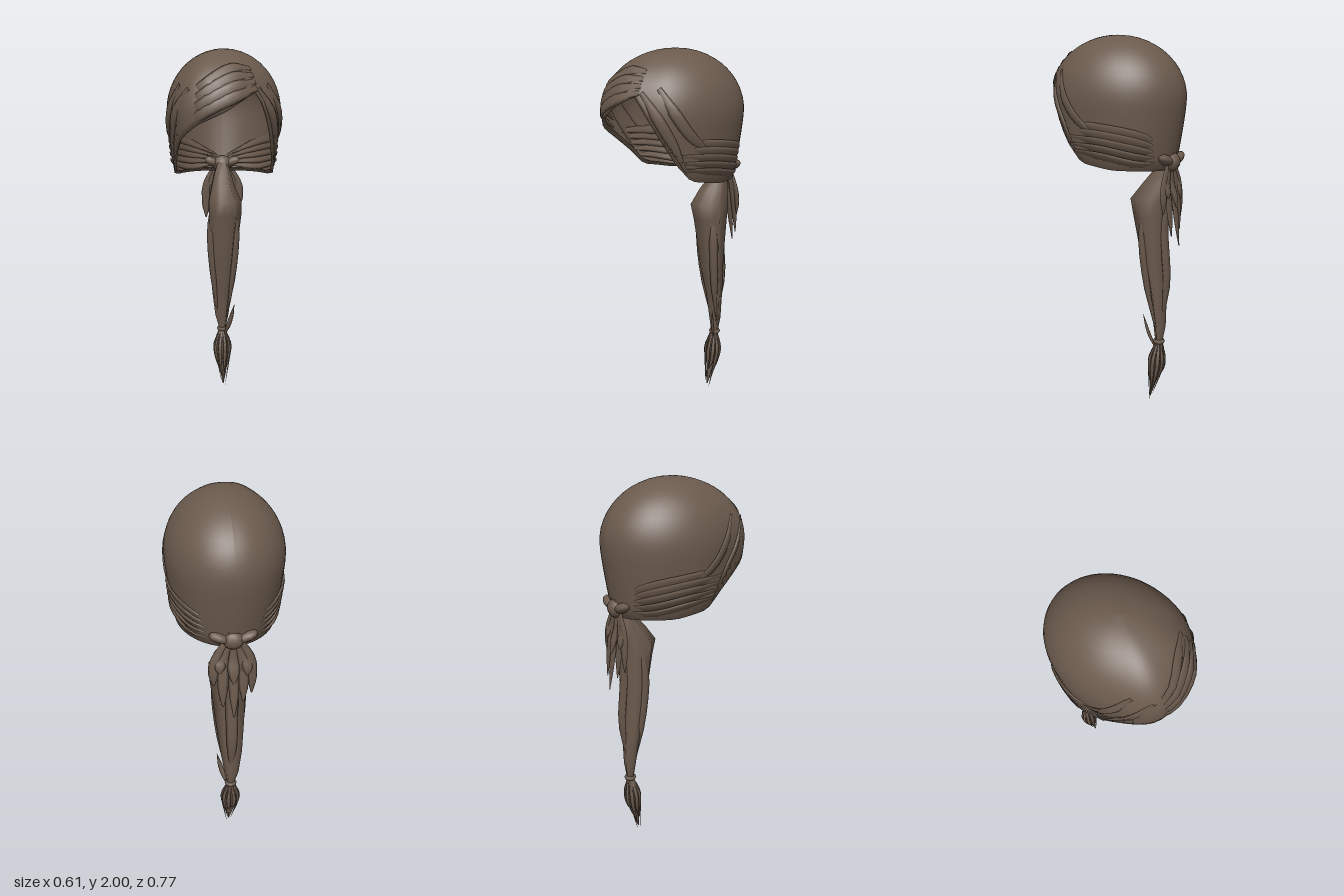
import * as THREE from 'three';

const V = (x, y, z) => new THREE.Vector3(x, y, z);
const hair = new THREE.MeshStandardMaterial({ color: 0x6b5a4d, side: THREE.DoubleSide });
hair.name = 'brown hair';

// Skin a list of point rows into one surface
function skin(rows, closed) {
  const n = rows[0].length, pos = [], idx = [];
  rows.forEach(r => r.forEach(p => pos.push(p.x, p.y, p.z)));
  for (let i = 0; i < rows.length - 1; i++) {
    for (let j = 0; j < (closed ? n : n - 1); j++) {
      const a = i * n + j, b = i * n + (j + 1) % n;
      idx.push(a, a + n, b, b, a + n, b + n);
    }
  }
  const g = new THREE.BufferGeometry();
  g.setAttribute('position', new THREE.Float32BufferAttribute(pos, 3));
  g.setIndex(idx);
  g.computeVertexNormals();
  return g;
}

function add(group, name, geo) {
  const m = new THREE.Mesh(geo, hair);
  m.name = name;
  group.add(m);
  return m;
}

// Linear lookup in [key, value] pairs
function lookup(table, k) {
  for (let i = 1; i < table.length; i++) {
    const [a, va] = table[i - 1], [b, vb] = table[i];
    if (k <= b) return va + (vb - va) * (k - a) / (b - a);
  }
  return table[table.length - 1][1];
}

// Hem height by angle, 0 = front, positive towards the left side
const HEM = [[-180, 1.32], [-110, 1.33], [-80, 1.36], [-65, 1.45], [-45, 1.55], [-25, 1.63], [0, 1.69],
  [15, 1.74], [30, 1.78], [36, 1.74], [45, 1.66], [55, 1.56], [65, 1.46], [80, 1.36], [110, 1.33], [180, 1.32]];

// Point on the head of hair at an angle and height
function capPoint(deg, y, off = 0) {
  const a = THREE.MathUtils.degToRad(deg);
  const k = y > 1.68 ? Math.sqrt(Math.max(0, 1 - ((y - 1.68) / 0.32) ** 2))
    : 1 - 0.14 * ((1.68 - y) / 0.36) ** 1.3;
  const bulge = 1 + 0.08 * Math.exp(-(((deg + 36) / 18) ** 2)) - 0.03 * Math.exp(-(((deg - 42) / 14) ** 2));
  return V(Math.sin(a) * (0.302 * k * bulge + off), y, Math.cos(a) * (0.38 * k * bulge + off));
}

// Flat tapering lock along a path, facing outward
function lock(points, width, thick, outward, taper = [0.4, 1, 0.9, 0.05]) {
  const curve = new THREE.CatmullRomCurve3(points), steps = 10, rows = [];
  for (let i = 0; i <= steps; i++) {
    const t = i / steps, p = curve.getPoint(t), tan = curve.getTangent(t);
    const out = outward(p).normalize();
    const side = V().crossVectors(tan, out).normalize();
    const w = width * lookup(taper.map((v, j) => [j / (taper.length - 1), v]), t);
    const row = [];
    for (let j = 0; j < 6; j++) {
      const a = -j / 6 * Math.PI * 2;
      row.push(p.clone().addScaledVector(side, Math.cos(a) * w)
        .addScaledVector(out, Math.sin(a) * thick * (w / width)));
    }
    rows.push(row);
  }
  return skin(rows, true);
}

// Grooved bundle from [y, centre x, centre z, half width, half depth]
function bundle(rings, sides, groove) {
  return skin(rings.map(([y, x, z, rx, rz]) => Array.from({ length: sides }, (_, j) => {
    const a = -j / sides * Math.PI * 2, s = j % 2 ? 1 - groove : 1;
    return V(x + Math.cos(a) * rx * s, y, z + Math.sin(a) * rz * s);
  })), true);
}

export function createModel() {
  const model = new THREE.Group();
  model.name = 'tied back hair';

  // Head of hair, from crown to hem, with a small turned-in rim
  const rows = [], N = 60, M = 18;
  for (let i = 0; i <= M; i++) {
    const row = [];
    for (let j = 0; j <= N; j++) {
      const deg = -180 + j * 360 / N, hem = lookup(HEM, deg);
      const t = i / M;
      const y = hem + (2 - hem) * (1 - t ** 1.7);
      row.push(capPoint(deg, y));
    }
    rows.push(row);
  }
  rows.push(rows[M].map(p => V(p.x * 0.95, p.y + 0.02, p.z * 0.95)));
  add(model, 'headHair', skin(rows, false));

  // Locks combed over the surface: [angle, height] waypoints
  const centre = p => V(p.x, (p.y - 1.66) * 0.8, p.z);
  const combed = new THREE.Group();
  combed.name = 'combedLocks';
  model.add(combed);
  const comb = (name, path, width) =>
    add(combed, name, lock(path.map(([d, y]) => capPoint(d, y, 0.003)), width, 0.009, centre));
  for (const s of [-1, 1]) {
    for (let i = 0; i < 5; i++) {
      const y = 1.35 + i * 0.035;
      comb('sideLock', [[s * (74 - i * 4), y + 0.07], [s * 100, y + 0.05], [s * 135, y + 0.01],
        [s * 176, 1.36 + i * 0.012]], 0.03);
    }
    comb('templeLock', [[s * 36, 1.8], [s * 52, 1.68], [s * 64, 1.55], [s * 76, 1.4]], 0.03);
    comb('templeLock', [[s * 52, 1.82], [s * 66, 1.7], [s * 80, 1.58], [s * 108, 1.46]], 0.03);
  }
  // Fringe swept across the forehead
  for (let i = 0; i < 4; i++) {
    const d = i * 0.045;
    comb('fringeLock', [[34, 1.8 + d * 0.7], [8, 1.76 + d], [-22, 1.68 + d], [-52, 1.57 + d]], 0.032);
  }

  // Knot at the nape with a loop on each side
  const knot = add(model, 'knot', new THREE.SphereGeometry(1, 12, 8));
  knot.scale.set(0.055, 0.05, 0.045);
  knot.position.set(0, 1.36, -0.325);
  for (const s of [-1, 1]) {
    const loop = add(model, 'knotLoop', new THREE.SphereGeometry(1, 10, 6));
    loop.scale.set(0.06, 0.027, 0.035);
    loop.position.set(s * 0.065, 1.375, -0.325);
    loop.rotation.z = s * 0.35;
  }

  // Long tail
  add(model, 'ponytail', bundle([
    [1.37, 0, -0.3, 0.03, 0.03], [1.3, 0, -0.27, 0.055, 0.055], [1.24, 0, -0.245, 0.07, 0.085],
    [1.16, 0.01, -0.21, 0.1, 0.11], [1.08, 0.01, -0.215, 0.1, 0.095], [0.95, 0.005, -0.225, 0.09, 0.08],
    [0.8, 0, -0.235, 0.08, 0.066], [0.6, -0.005, -0.26, 0.062, 0.043], [0.45, -0.005, -0.27, 0.042, 0.032],
    [0.36, 0, -0.268, 0.02, 0.02]], 14, 0.2));
  for (const [x, z, w] of [[-0.05, -0.2, 0.025], [0.055, -0.2, 0.025], [0, -0.29, 0.035]]) {
    add(model, 'tailLock', lock([V(x * 0.7, 1.25, z - 0.03), V(x * 1.4, 1.0, z),
      V(x * 1.1, 0.7, z - 0.02), V(x * 0.4, 0.4, -0.268)], w, 0.02, p => V(p.x, 0, p.z + 0.24)));
  }

  // Tie and tuft at the end of the tail
  const tie = add(model, 'tailTie', new THREE.TorusGeometry(0.022, 0.012, 6, 12));
  tie.rotation.x = Math.PI / 2;
  tie.position.set(0, 0.36, -0.268);
  add(model, 'tuftCore', bundle([[0.37, 0, -0.268, 0.018, 0.018], [0.3, -0.005, -0.262, 0.042, 0.035],
    [0.22, -0.005, -0.255, 0.044, 0.036], [0.13, 0, -0.242, 0.025, 0.022],
    [0.02, 0.004, -0.22, 0.003, 0.003]], 10, 0.25));
  for (let i = 0; i < 10; i++) {
    const a = i / 10 * Math.PI * 2, c = Math.cos(a), s = Math.sin(a), end = (i * 7 % 10) * 0.016;
    add(model, 'tuftStrand', lock([V(c * 0.012, 0.36, -0.268 + s * 0.012),
      V(c * 0.05, 0.26, -0.258 + s * 0.042), V(c * 0.042, 0.18, -0.25 + s * 0.036),
      V(c * 0.012 + 0.003, end, -0.222 + s * 0.012)], 0.012, 0.006, () => V(c, 0, s)));
  }
  add(model, 'strayStrand', lock([V(0.015, 0.33, -0.25), V(0.045, 0.42, -0.225), V(0.07, 0.53, -0.205)],
    0.014, 0.006, () => V(0, 0, 1)));

  // Short layered locks hanging behind the knot: [tip x, tip y, tip z, width]
  const tips = [[-0.095, 1.04, -0.335, 0.028], [0.1, 1.1, -0.335, 0.028], [-0.05, 1.0, -0.355, 0.03],
    [0.055, 0.98, -0.36, 0.03], [0, 0.92, -0.378, 0.028], [-0.07, 1.16, -0.35, 0.03],
    [0.07, 1.18, -0.35, 0.03], [0, 1.12, -0.362, 0.032]];
  for (const [x, y, z, w] of tips) {
    add(model, 'shortLock', lock([V(x * 0.3, 1.36, -0.325), V(x * 0.9, 1.25, -0.33),
      V(x, (1.25 + y) / 2, (z - 0.335) / 2), V(x, y, z)], w, 0.01,
    () => V(x * 2, 0, -1), [0.5, 0.8, 1, 0.9, 0.15]));
  }
  return model;
}
